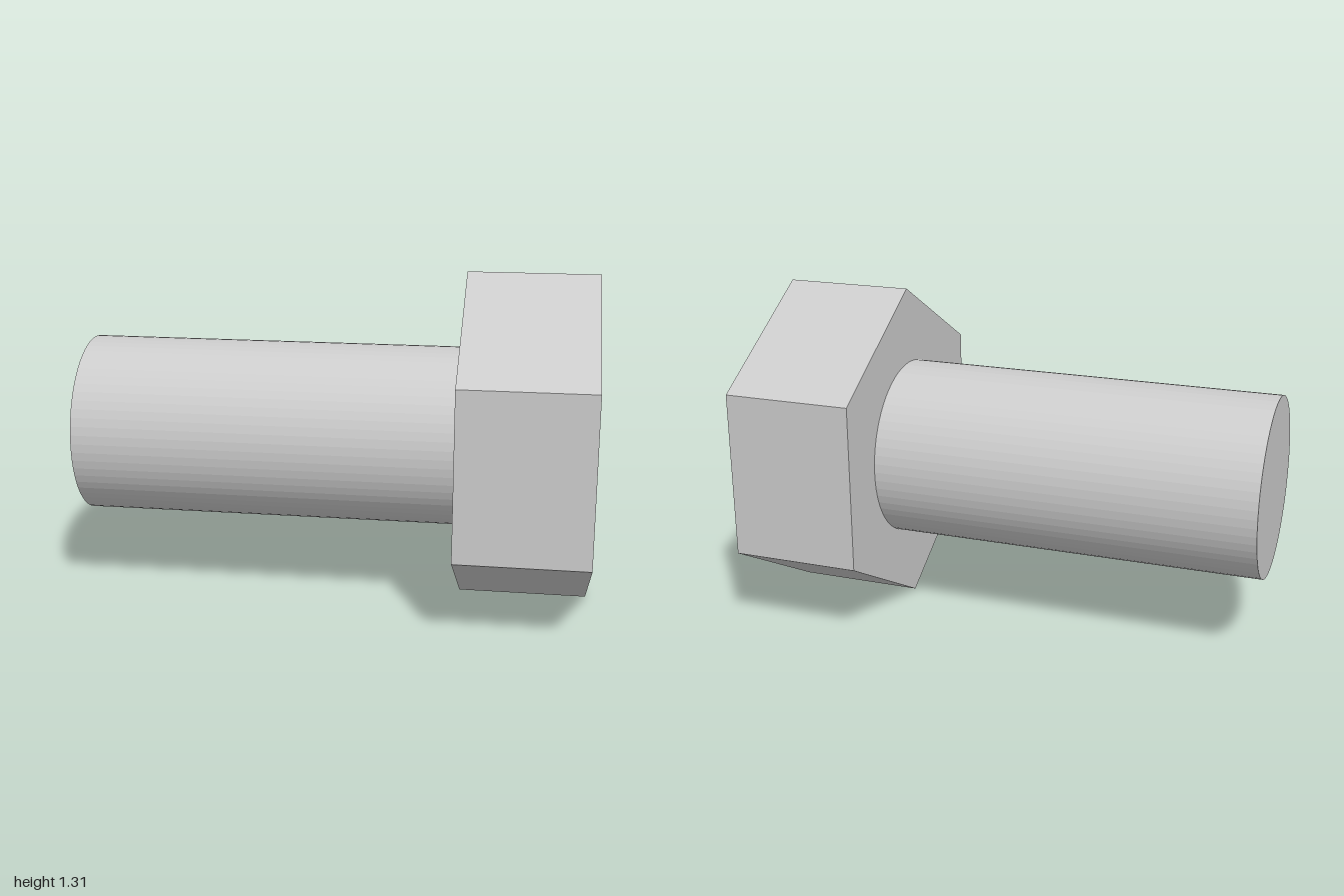
import * as THREE from 'three';

const HEAD_RADIUS = 0.653; // corner radius of the hexagon, also the axis height
const SHANK_RADIUS = 0.351;
const HEAD_START = 0.495; // x where the shank meets the head

export function createModel() {
  const group = new THREE.Group();
  group.name = 'hexBolt';
  const material = new THREE.MeshStandardMaterial({ color: 0xcccccc, flatShading: true });

  // Prism lying along x from x0 to x1, with a corner pointing straight up
  const addPrism = (name, radius, sides, x0, x1) => {
    const geometry = new THREE.CylinderGeometry(radius, radius, x1 - x0, sides, 1, false, Math.PI / 2);
    geometry.rotateZ(-Math.PI / 2);
    const mesh = new THREE.Mesh(geometry, material);
    mesh.name = name;
    mesh.position.set((x0 + x1) / 2, HEAD_RADIUS, 0);
    group.add(mesh);
  };

  addPrism('shank', SHANK_RADIUS, 64, -1, HEAD_START);
  addPrism('hexHead', HEAD_RADIUS, 6, HEAD_START, 1);

  return group;
}
